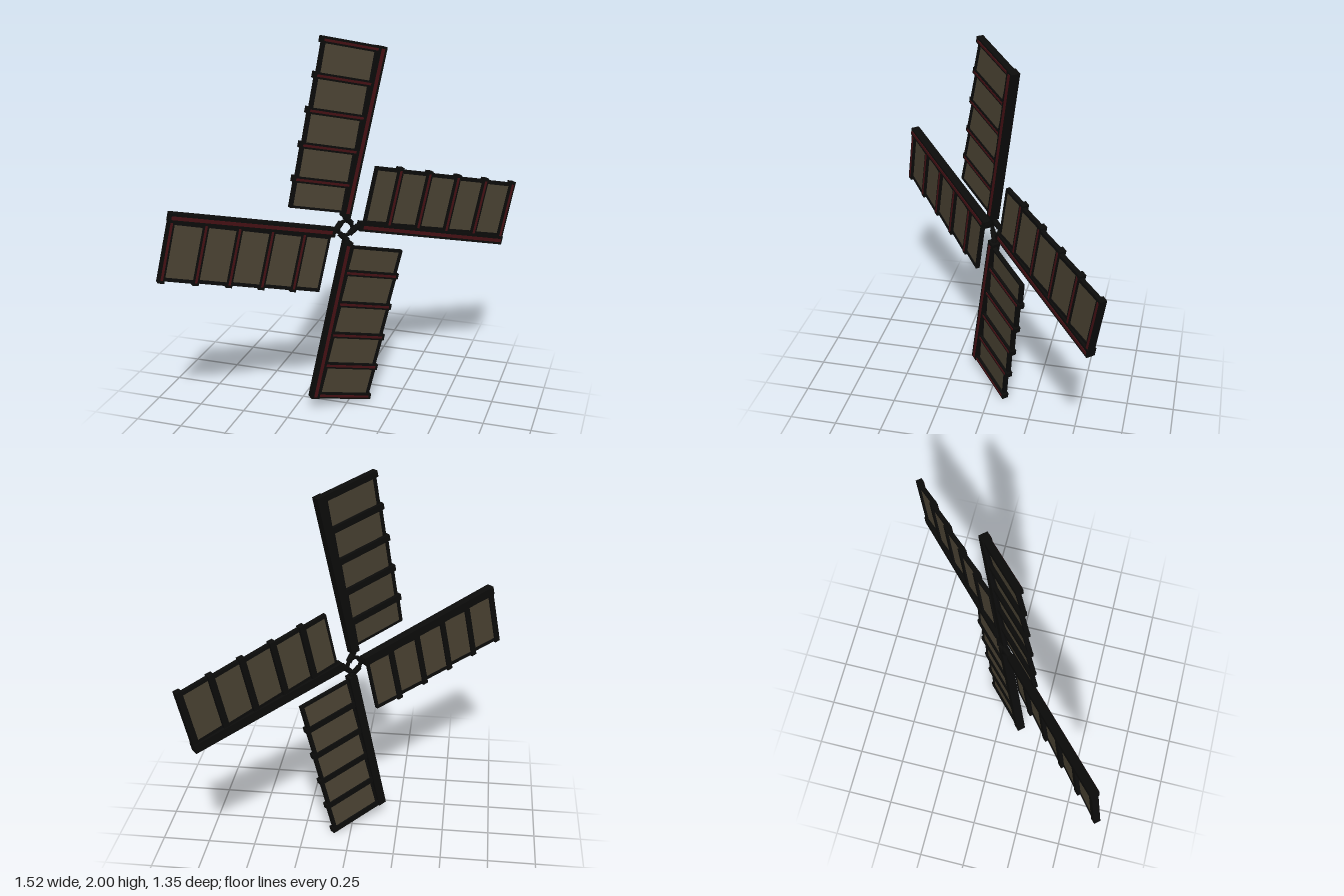
import * as THREE from 'three';

const black = new THREE.MeshStandardMaterial({ color: 0x0b0b0a });
const red = new THREE.MeshStandardMaterial({ color: 0x451014 });
const cloth = new THREE.MeshStandardMaterial({ color: 0x4a4232 });

const WIDTH = 0.345, TIP = 0.945, ROOT = 0.085, STEP = 0.174;

// Box given by its extents; the sail lies in XY, x < 0 is its trailing side
function slab(name, x0, x1, y0, y1, z0, z1, material) {
  const mesh = new THREE.Mesh(new THREE.BoxGeometry(x1 - x0, y1 - y0, z1 - z0), material);
  mesh.position.set((x0 + x1) / 2, (y0 + y1) / 2, (z0 + z1) / 2);
  mesh.name = name;
  return mesh;
}

// Cloth panel in a thin black border, tilted a little like a louvre
function makePanel(y0, y1) {
  const panel = new THREE.Group();
  panel.name = 'sailPanel';
  const h = (y1 - y0) / 2, inner = -0.04, outer = -WIDTH, b = 0.018;
  panel.add(
    slab('cloth', outer + b, inner - b, -h + 0.012, h - 0.012, -0.006, 0.006, cloth),
    slab('outerBorder', outer, outer + b, -h, h, -0.011, 0.011, black),
    slab('innerBorder', inner - b, inner, -h, h, -0.011, 0.011, black),
    slab('lowerBorder', outer, inner, -h, -h + 0.012, -0.011, 0.011, black),
    slab('upperBorder', outer, inner, h - 0.012, h, -0.011, 0.011, black)
  );
  panel.position.y = (y0 + y1) / 2;
  panel.rotation.x = -0.07;
  return panel;
}

function makeSail() {
  const sail = new THREE.Group();
  sail.name = 'sail';

  // Long spar with a red strip on its front
  sail.add(
    slab('spar', -0.046, 0, 0.065, TIP, -0.026, 0.02, black),
    slab('sparStrip', -0.031, -0.013, 0.085, TIP - 0.01, 0.02, 0.023, red)
  );

  // Cross bars and the panels hung below them
  for (let i = 0; i < 5; i++) {
    const y = TIP - 0.017 - i * STEP;
    sail.add(
      slab('crossBar', -WIDTH - 0.01, -0.02, y - 0.016, y + 0.016, -0.02, 0.015, black),
      slab('crossBarStrip', -WIDTH + 0.005, -0.035, y - 0.006, y + 0.006, 0.015, 0.018, red),
      makePanel(Math.max(y - STEP, ROOT), y)
    );
  }

  // Bent root that hooks the spar onto the hub ring
  const path = new THREE.CatmullRomCurve3([
    new THREE.Vector3(-0.022, 0.085, -0.004),
    new THREE.Vector3(-0.018, 0.06, -0.006),
    new THREE.Vector3(0.005, 0.045, -0.012),
    new THREE.Vector3(0.028, 0.03, -0.018)
  ]);
  const root = new THREE.Mesh(new THREE.TubeGeometry(path, 6, 0.016, 6), black);
  root.name = 'sparRoot';
  sail.add(root);
  return sail;
}

export function createModel() {
  const model = new THREE.Group();
  model.name = 'windmillSails';

  // Four sails around the hub
  for (let i = 0; i < 4; i++) {
    const sail = makeSail();
    sail.rotation.z = -0.227 + i * Math.PI / 2;
    model.add(sail);
  }

  // Open hub ring
  const ring = new THREE.Mesh(new THREE.TorusGeometry(0.04, 0.011, 6, 12), black);
  ring.name = 'hubRing';
  ring.position.z = -0.018;
  model.add(ring);

  model.position.y = 1.002;
  model.rotation.y = 0.721;
  const out = new THREE.Group();
  out.add(model);
  return out;
}
